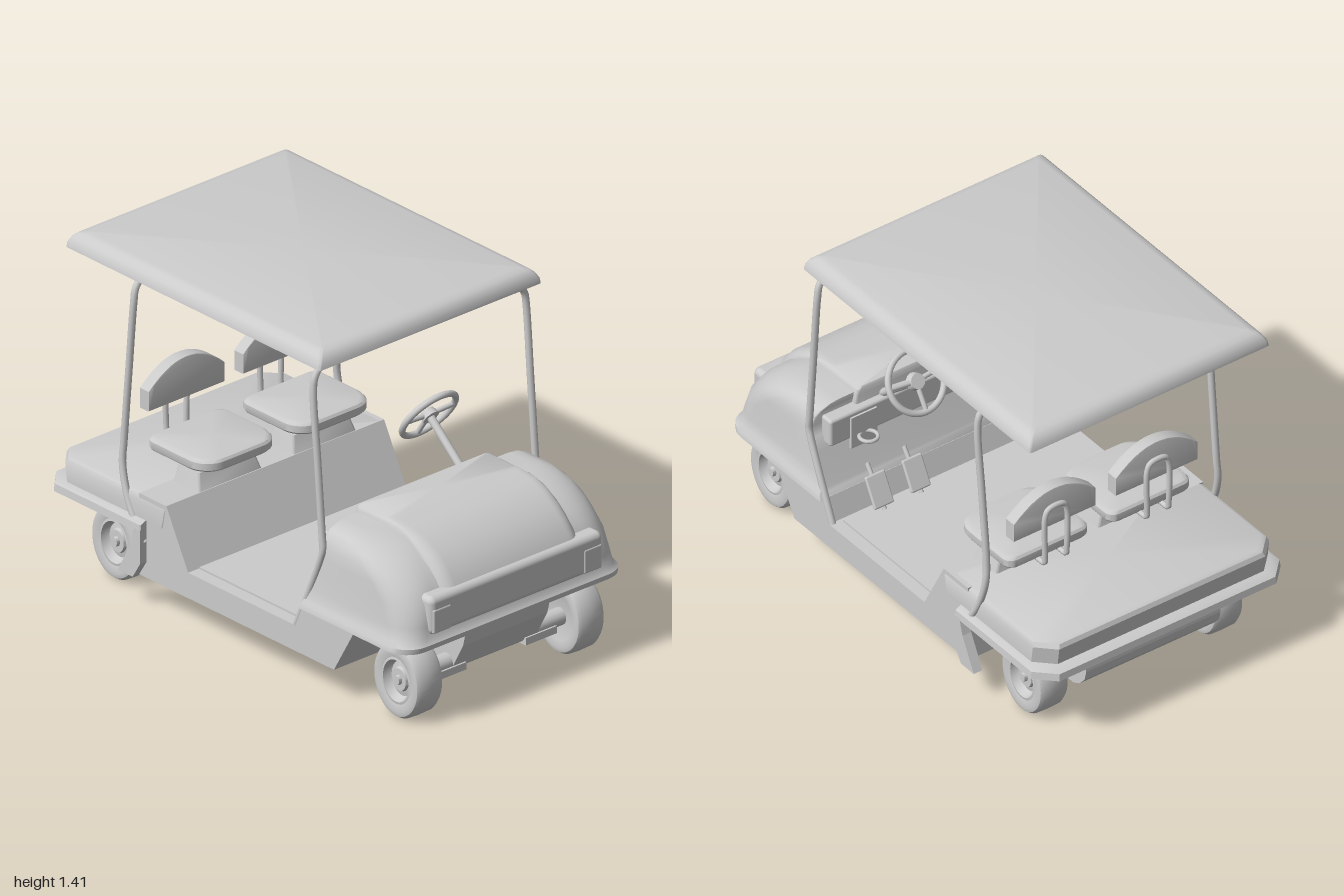
import * as THREE from 'three';
import { toCreasedNormals } from 'three/addons/utils/BufferGeometryUtils.js';
import { RoundedBoxGeometry } from 'three/addons/geometries/RoundedBoxGeometry.js';

const grey = new THREE.MeshStandardMaterial({ color: 0xcccccc, side: THREE.DoubleSide });
const V = (x, y, z) => new THREE.Vector3(x, y, z);

function add(parent, name, geometry, x = 0, y = 0, z = 0) {
  const mesh = new THREE.Mesh(geometry, grey);
  mesh.name = name;
  mesh.position.set(x, y, z);
  parent.add(mesh);
  return mesh;
}

// Stack of rounded rectangles; layer = [y, halfWidth, zFront, zRear, frontRadius, rearRadius]
function stack(layers, { top = true, bottom = true, steps = 8, crease = 0.6 } = {}) {
  const pos = [], index = [], n = 4 * (steps + 1);
  for (const [y, w, zf, zr, rf, rr] of layers) {
    const corners = [[w - rf, zf - rf, rf], [rf - w, zf - rf, rf], [rr - w, zr + rr, rr], [w - rr, zr + rr, rr]];
    corners.forEach(([cx, cz, r], k) => {
      for (let i = 0; i <= steps; i++) {
        const a = (k + i / steps) * Math.PI / 2;
        pos.push(cx + r * Math.cos(a), y, cz + r * Math.sin(a));
      }
    });
  }
  for (let l = 0; l < layers.length - 1; l++) {
    for (let i = 0; i < n; i++) {
      const a = l * n + i, b = l * n + (i + 1) % n;
      index.push(a, a + n, b, b, a + n, b + n);
    }
  }
  const cap = (l, up) => {
    const c = pos.length / 3, [y, , zf, zr] = layers[l];
    pos.push(0, y, (zf + zr) / 2);
    for (let i = 0; i < n; i++) {
      const a = l * n + i, b = l * n + (i + 1) % n;
      index.push(c, up ? b : a, up ? a : b);
    }
  };
  if (top) cap(layers.length - 1, true);
  if (bottom) cap(0, false);
  const g = new THREE.BufferGeometry();
  g.setAttribute('position', new THREE.Float32BufferAttribute(pos, 3));
  g.setIndex(index);
  return toCreasedNormals(g, crease);
}

// Side profile of [z, y] points, extruded across the width from x0 to x1
function across(points, x0, x1) {
  const shape = new THREE.Shape(points.map(([z, y]) => new THREE.Vector2(z, y)));
  const g = new THREE.ExtrudeGeometry(shape, { depth: x1 - x0, bevelEnabled: false });
  return g.rotateY(-Math.PI / 2).translate(x1, 0, 0);
}

function tube(points, radius, segments = 60) {
  return new THREE.TubeGeometry(new THREE.CatmullRomCurve3(points, false, 'centripetal'), segments, radius, 10);
}

function bar(a, b, radius) {
  return new THREE.TubeGeometry(new THREE.LineCurve3(a, b), 1, radius, 12);
}

// Hoop that runs up one side, over under the roof and down the other
function hoop(side, topZ) {
  const half = [...side, V(0.53, 1.24, topZ), V(0.522, 1.29, topZ), V(0.5, 1.32, topZ), V(0.46, 1.333, topZ), V(0.4, 1.333, topZ)];
  const other = half.map(p => V(-p.x, p.y, p.z)).reverse();
  return tube([...half, ...other], 0.014, 160);
}

function makeWheel() {
  const wheel = new THREE.Group();
  const lathe = (pts) => toCreasedNormals(new THREE.LatheGeometry(pts.map(p => new THREE.Vector2(...p)), 40).rotateZ(-Math.PI / 2), 0.6);
  add(wheel, 'tyre', lathe([[0.095, -0.06], [0.125, -0.067], [0.143, -0.062], [0.153, -0.048], [0.155, 0],
    [0.153, 0.048], [0.143, 0.062], [0.125, 0.067], [0.095, 0.06]]));
  add(wheel, 'rim', lathe([[0, -0.04], [0.095, -0.06], [0.095, 0.06], [0.085, 0.062], [0.078, 0.04], [0.07, 0.03],
    [0.05, 0.034], [0.045, 0.046], [0.02, 0.046], [0.018, 0.06], [0, 0.06]]));
  wheel.scale.z = 0.83;
  return wheel;
}

export function createModel() {
  const cart = new THREE.Group();
  cart.name = 'golfCart';

  // Floor pan with sills and the sloping seat riser
  add(cart, 'floorPan', across([[0.70, 0.335], [0.585, 0.135], [-0.49, 0.135], [-0.49, 0.47], [-0.34, 0.47],
    [-0.22, 0.24], [0.37, 0.24], [0.405, 0.335]], -0.542, 0.542));
  add(cart, 'floorMat', new THREE.BoxGeometry(0.98, 0.008, 0.57), 0, 0.244, 0.07);

  // Nose with rounded fenders
  add(cart, 'frontBody', stack([
    [0.33, 0.558, 0.995, 0.405, 0.1, 0.004], [0.352, 0.555, 1.0, 0.413, 0.1, 0.004], [0.37, 0.542, 0.985, 0.42, 0.1, 0.004],
    [0.42, 0.535, 0.98, 0.44, 0.11, 0.004], [0.5, 0.53, 0.965, 0.47, 0.13, 0.004], [0.56, 0.527, 0.925, 0.493, 0.15, 0.004],
    [0.6, 0.525, 0.885, 0.508, 0.16, 0.006], [0.64, 0.512, 0.825, 0.5, 0.16, 0.01], [0.665, 0.49, 0.76, 0.495, 0.15, 0.01],
    [0.68, 0.45, 0.68, 0.495, 0.1, 0.01], [0.684, 0.41, 0.64, 0.495, 0.07, 0.01]], { crease: 0.7 }));
  // Raised centre hood and front panel
  add(cart, 'hood', stack([
    [0.5, 0.345, 0.99, 0.47, 0.06, 0.01], [0.55, 0.345, 0.965, 0.48, 0.06, 0.01], [0.6, 0.342, 0.925, 0.48, 0.06, 0.01],
    [0.64, 0.34, 0.88, 0.475, 0.06, 0.01], [0.68, 0.336, 0.81, 0.475, 0.05, 0.01], [0.7, 0.33, 0.745, 0.475, 0.04, 0.01],
    [0.71, 0.315, 0.66, 0.48, 0.03, 0.01]], { crease: 0.7 }));
  add(cart, 'frontPanel', new RoundedBoxGeometry(0.86, 0.155, 0.1, 4, 0.025), 0, 0.46, 0.948);
  for (const s of [-1, 1]) {
    add(cart, 'headlight', new RoundedBoxGeometry(0.09, 0.1, 0.03, 3, 0.008), s * 0.375, 0.44, 0.986);
  }
  // Dashboard with two holders
  add(cart, 'dashboard', new RoundedBoxGeometry(0.96, 0.12, 0.06, 3, 0.012), 0, 0.58, 0.475);
  for (const x of [0.33, -0.25]) {
    add(cart, 'holderPlate', new THREE.BoxGeometry(0.12, 0.14, 0.01), x, 0.55, 0.442);
    add(cart, 'holderRing', new THREE.TorusGeometry(0.035, 0.008, 8, 24).rotateX(Math.PI / 2), x, 0.53, 0.41);
  }

  // Rear deck with chamfered corners and a flared lip
  const chamfer = { steps: 1, crease: 0.5 };
  add(cart, 'rearLip', stack([[0.33, 0.575, -0.45, -1.0, 0.004, 0.075], [0.36, 0.572, -0.45, -0.997, 0.004, 0.075],
    [0.372, 0.55, -0.45, -0.965, 0.004, 0.075]], chamfer));
  add(cart, 'rearDeck', stack([[0.37, 0.545, -0.36, -0.955, 0.004, 0.07], [0.445, 0.545, -0.345, -0.965, 0.004, 0.07],
    [0.462, 0.537, -0.34, -0.957, 0.004, 0.07], [0.47, 0.522, -0.34, -0.942, 0.004, 0.07]], chamfer));
  for (const s of [-1, 1]) {
    add(cart, 'rearFlare', across([[-0.45, 0.34], [-0.45, 0.2], [-0.49, 0.135], [-0.57, 0.135], [-0.5, 0.27], [-0.48, 0.34]],
      s > 0 ? 0.535 : -0.575, s > 0 ? 0.575 : -0.535));
  }

  // Undercarriage
  add(cart, 'engineCover', across([[-0.48, 0.335], [-0.48, 0.135], [-0.83, 0.135], [-0.87, 0.155], [-0.9, 0.19],
    [-0.91, 0.23], [-0.91, 0.335]], -0.31, 0.31));
  add(cart, 'frontChassis', across([[0.95, 0.335], [0.93, 0.25], [0.87, 0.14], [0.55, 0.14], [0.55, 0.335]], -0.21, 0.21));
  for (const z of [0.84, -0.717]) {
    add(cart, 'axle', bar(V(-0.4, 0.155, z), V(0.4, 0.155, z), 0.035));
    for (const s of [-1, 1]) {
      add(cart, 'spring', new THREE.BoxGeometry(0.155, 0.03, 0.08), s * 0.225, 0.13, z);
      const wheel = makeWheel();
      wheel.name = z > 0 ? 'frontWheel' : 'rearWheel';
      wheel.position.set(s * 0.402, 0.157, z);
      if (s < 0) wheel.rotation.y = Math.PI;
      cart.add(wheel);
    }
  }

  // Seats with arched backrests on bent brackets
  const backShape = new THREE.Shape();
  backShape.moveTo(-0.185, 0);
  backShape.lineTo(0.185, 0);
  backShape.lineTo(0.185, 0.075);
  backShape.bezierCurveTo(0.12, 0.135, 0.06, 0.16, 0, 0.16);
  backShape.bezierCurveTo(-0.06, 0.16, -0.12, 0.135, -0.185, 0.075);
  const backGeo = toCreasedNormals(new THREE.ExtrudeGeometry(backShape,
    { depth: 0.044, bevelEnabled: true, bevelSize: 0.004, bevelThickness: 0.004, bevelSegments: 2, curveSegments: 14 }), 0.6);
  for (const x of [-0.22, 0.25]) {
    const seat = new THREE.Group();
    seat.name = 'seat';
    seat.position.x = x;
    cart.add(seat);
    add(seat, 'cushion', stack([[0.572, 0.185, -0.275, -0.6, 0.09, 0.04], [0.58, 0.19, -0.268, -0.605, 0.09, 0.04],
      [0.608, 0.19, -0.268, -0.605, 0.09, 0.04], [0.618, 0.183, -0.275, -0.598, 0.09, 0.04], [0.622, 0.17, -0.29, -0.585, 0.08, 0.04]]));
    add(seat, 'pedestal', stack([[0.46, 0.16, -0.34, -0.485, 0.01, 0.01], [0.535, 0.14, -0.365, -0.48, 0.01, 0.01]]));
    add(seat, 'support', new THREE.BoxGeometry(0.16, 0.045, 0.06), 0, 0.555, -0.43);
    add(seat, 'backrest', backGeo, 0, 0.73, -0.632);
    const leg = [V(0.05, 0.566, -0.42), V(0.05, 0.566, -0.6), V(0.05, 0.57, -0.638), V(0.05, 0.6, -0.642), V(0.05, 0.78, -0.642), V(0.035, 0.812, -0.642)];
    add(seat, 'bracket', tube([...leg, ...leg.map(p => V(-p.x, p.y, p.z)).reverse()], 0.011, 90));
  }

  // Steering wheel and column
  const steering = new THREE.Group();
  steering.name = 'steeringWheel';
  steering.position.set(0.217, 0.82, 0.268);
  steering.quaternion.setFromUnitVectors(V(0, 0, 1), V(0, 0.135, -0.21).normalize());
  cart.add(steering);
  add(steering, 'wheelRim', new THREE.TorusGeometry(0.12, 0.013, 10, 48));
  add(steering, 'hub', new THREE.CylinderGeometry(0.03, 0.035, 0.03, 20).rotateX(Math.PI / 2));
  for (const [sx, sy] of [[1, -0.1], [-1, -0.1], [0, 1]]) {
    add(steering, 'spoke', bar(V(0, 0, 0), V(sx * 0.118, sy * 0.118, 0), 0.01));
  }
  add(cart, 'steeringColumn', bar(V(0.217, 0.815, 0.275), V(0.217, 0.62, 0.5), 0.016));

  // Pedals
  for (const x of [0.16, 0.33]) {
    const pedal = add(cart, 'pedal', new RoundedBoxGeometry(0.09, 0.13, 0.015, 3, 0.007), x, 0.32, 0.345);
    pedal.rotation.x = 0.5;
    add(cart, 'pedalArm', bar(V(x, 0.25, 0.31), V(x, 0.4, 0.42), 0.009));
  }

  // Roof frame: front and rear hoops
  add(cart, 'frontHoop', hoop([V(0.53, 0.24, 0.365), V(0.53, 0.4, 0.435), V(0.53, 0.56, 0.5), V(0.53, 0.6, 0.511), V(0.53, 0.65, 0.507), V(0.53, 0.95, 0.482)], 0.458));
  add(cart, 'rearHoop', hoop([V(0.545, 0.28, -0.455), V(0.545, 0.36, -0.515), V(0.54, 0.46, -0.565), V(0.535, 0.56, -0.59), V(0.53, 0.64, -0.588), V(0.53, 0.95, -0.56)], -0.533));

  // Roof shell, hollow underneath
  add(cart, 'roof', stack([[1.35, 0.53, 0.495, -0.865, 0.01, 0.01], [1.342, 0.545, 0.512, -0.88, 0.01, 0.01],
    [1.345, 0.553, 0.52, -0.888, 0.012, 0.012], [1.365, 0.55, 0.517, -0.885, 0.012, 0.012], [1.388, 0.537, 0.506, -0.873, 0.012, 0.012],
    [1.403, 0.52, 0.49, -0.857, 0.012, 0.012], [1.41, 0.495, 0.465, -0.83, 0.012, 0.012]], { bottom: false, steps: 3 }));
  return cart;
}
